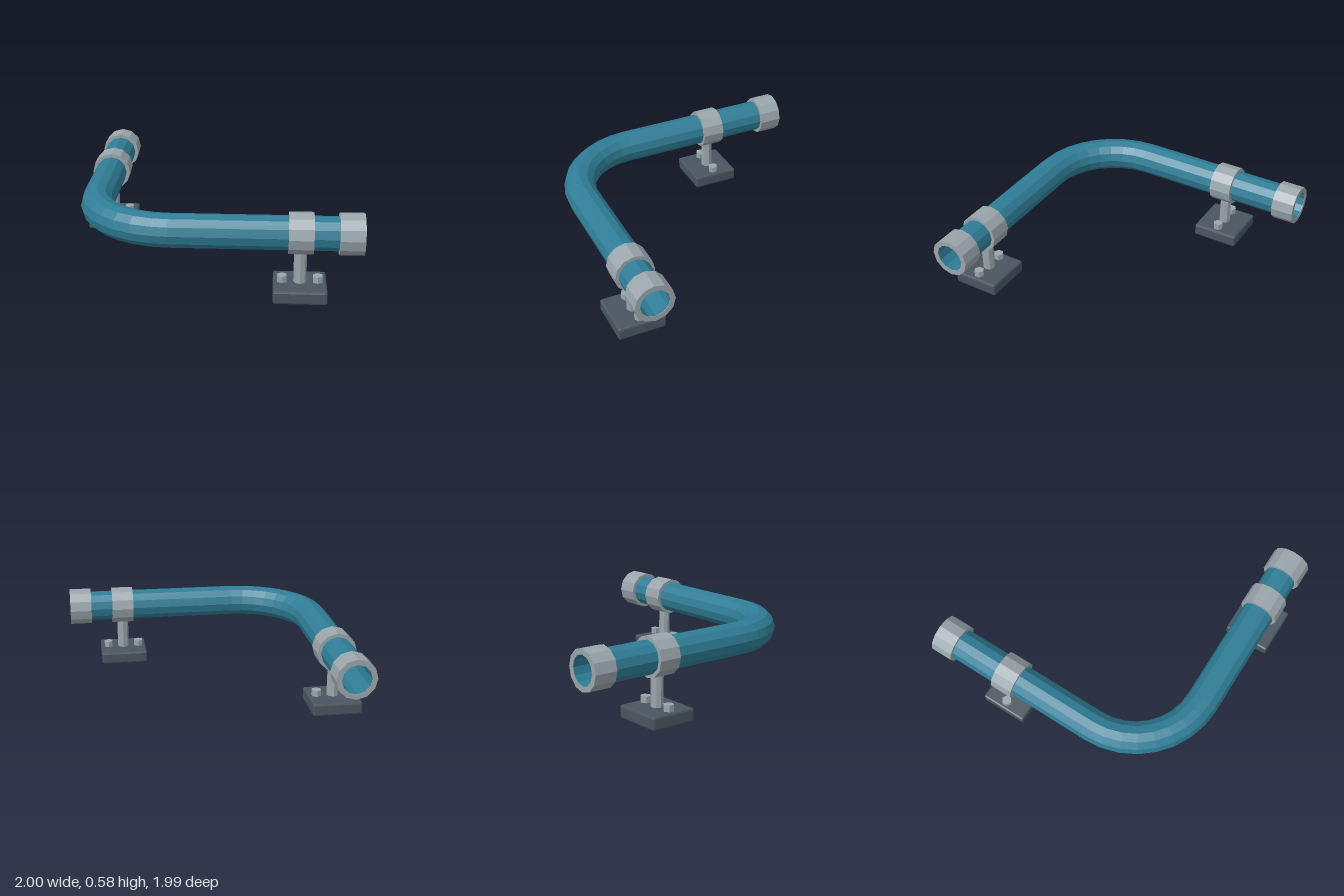
import * as THREE from 'three';
import { RoundedBoxGeometry } from 'three/addons/geometries/RoundedBoxGeometry.js';

const AXIS = 0.822;   // distance of both pipe runs from the centre
const HEIGHT = 0.437; // height of the pipe centre line
const SIDES = 12;

const material = (color) => new THREE.MeshStandardMaterial({ color, flatShading: true });

// Hollow pipe: rings run along the outer wall, then back along the inner wall.
function pipeGeometry(outer, inner, end, bend, bendSteps) {
  const stations = [{ x: -AXIS, z: -end, a: 0 }];
  for (let i = 0; i <= bendSteps; i++) {
    const a = (i / bendSteps) * Math.PI / 2;
    stations.push({
      x: -AXIS + bend - bend * Math.cos(a),
      z: AXIS - bend + bend * Math.sin(a),
      a,
    });
  }
  stations.push({ x: end, z: AXIS, a: Math.PI / 2 });

  const rings = [
    ...stations.map((s) => ({ ...s, r: outer })),
    ...stations.slice().reverse().map((s) => ({ ...s, r: inner })),
  ];
  const positions = [];
  const index = [];
  for (const { x, z, a, r } of rings) {
    for (let j = 0; j < SIDES; j++) {
      const t = (j / SIDES) * Math.PI * 2;
      const side = r * Math.cos(t);
      positions.push(x + side * Math.cos(a), HEIGHT + r * Math.sin(t), z - side * Math.sin(a));
    }
  }
  for (let i = 0; i < rings.length; i++) {
    const next = (i + 1) % rings.length;
    for (let j = 0; j < SIDES; j++) {
      const k = (j + 1) % SIDES;
      const a = i * SIDES + j, b = i * SIDES + k;
      const c = next * SIDES + j, d = next * SIDES + k;
      index.push(a, b, c, b, d, c);
    }
  }
  const geometry = new THREE.BufferGeometry();
  geometry.setAttribute('position', new THREE.Float32BufferAttribute(positions, 3));
  geometry.setIndex(index);
  geometry.computeVertexNormals();
  return geometry;
}

// Ring with a rectangular section, its axis along y.
function ringGeometry(outer, inner, length) {
  const h = length / 2;
  const profile = [[inner, -h], [outer, -h], [outer, h], [inner, h], [inner, -h]];
  return new THREE.LatheGeometry(profile.map(([x, y]) => new THREE.Vector2(x, y)), SIDES);
}

export function createModel() {
  const model = new THREE.Group();
  model.name = 'pipeElbow';
  const blue = material(0x2f7d96);
  const steel = material(0x9aa6ac);
  const dark = material(0x4a5560);

  function add(parent, name, geometry, mat, x, y, z) {
    const mesh = new THREE.Mesh(geometry, mat);
    mesh.name = name;
    mesh.position.set(x, y, z);
    parent.add(mesh);
    return mesh;
  }

  add(model, 'pipe', pipeGeometry(0.115, 0.1, 0.994, 0.55, 8), blue, 0, 0, 0);

  const collar = ringGeometry(0.14, 0.102, 0.163);
  const clamp = ringGeometry(0.14, 0.11, 0.163);
  const stem = new THREE.CylinderGeometry(0.043, 0.043, 0.23, 8);
  const bolt = new THREE.CylinderGeometry(0.036, 0.036, 0.06, 6);
  const base = new RoundedBoxGeometry(0.354, 0.092, 0.342, 1, 0.014);

  // One run along x, one along z
  const runs = [
    { name: 'left', alongX: true, end: [0.917, AXIS], support: [0.59, AXIS] },
    { name: 'back', alongX: false, end: [-AXIS, -0.916], support: [-AXIS, -0.409] },
  ];
  for (const { name, alongX, end, support } of runs) {
    const orient = (mesh) => {
      if (alongX) mesh.rotation.z = Math.PI / 2;
      else mesh.rotation.x = Math.PI / 2;
    };
    orient(add(model, name + 'EndCollar', collar, steel, end[0], HEIGHT, end[1]));

    // Floor support: base plate, two bolts, stem and clamp
    const stand = new THREE.Group();
    stand.name = name + 'Support';
    stand.position.set(support[0], 0, support[1]);
    model.add(stand);
    add(stand, 'basePlate', base, dark, 0, 0.046, 0);
    add(stand, 'stem', stem, steel, 0, 0.2, 0);
    for (const s of [-1, 1]) add(stand, 'bolt', bolt, steel, s * 0.118, 0.107, 0);
    orient(add(stand, 'clamp', clamp, steel, 0, HEIGHT, 0));
  }
  return model;
}
